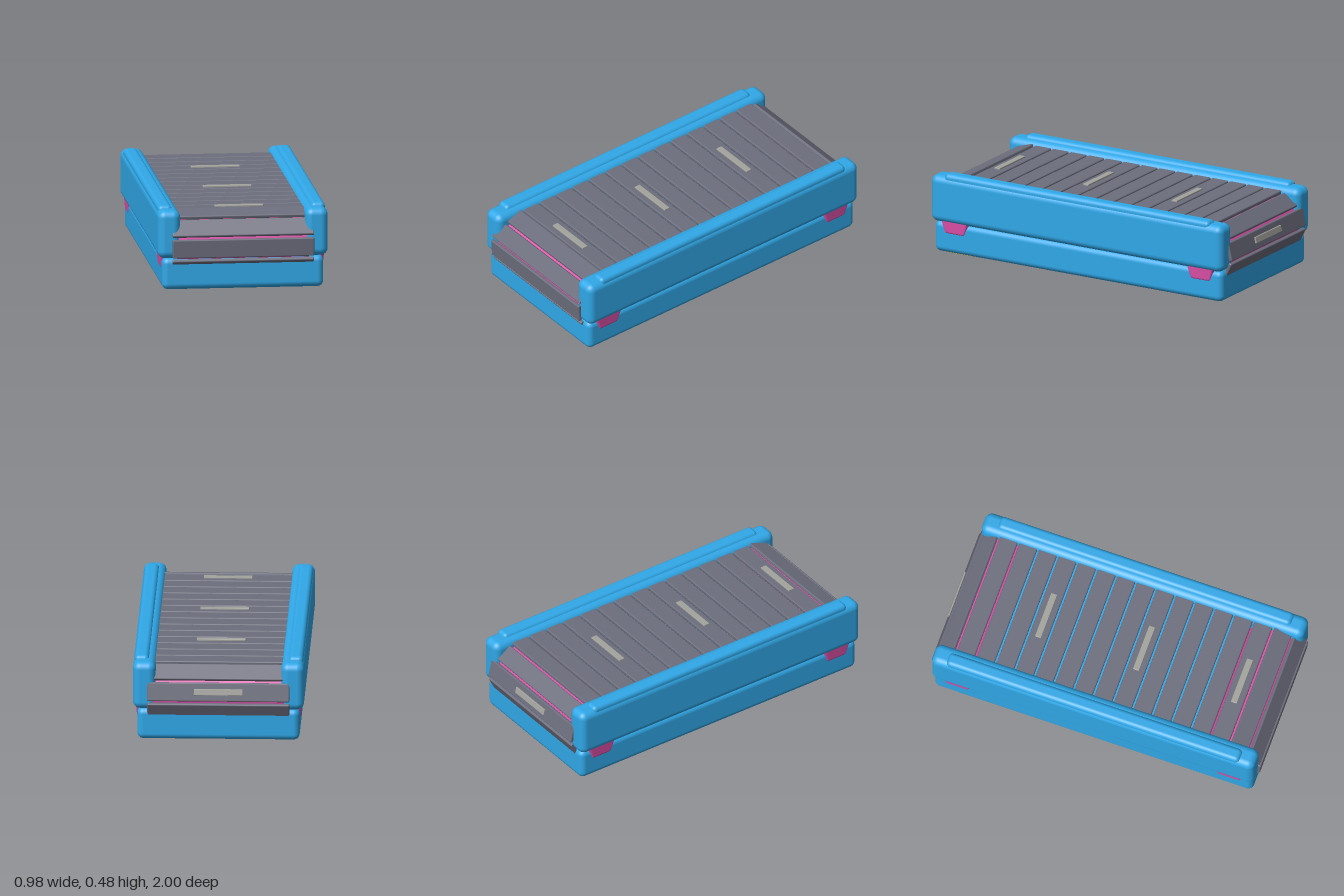
import * as THREE from 'three';
import { RoundedBoxGeometry } from 'three/addons/geometries/RoundedBoxGeometry.js';

const mat = (color) => new THREE.MeshStandardMaterial({ color });

export function createModel() {
  const model = new THREE.Group();
  model.name = 'conveyor';
  const blue = mat(0x30a8e8), pink = mat(0xdd50a8), slatGrey = mat(0x6c6e7d);
  const plateGrey = mat(0xa3a39e), yellow = mat(0xd8b432);

  const add = (name, geometry, material, x = 0, y = 0, z = 0, parent = model) => {
    const mesh = new THREE.Mesh(geometry, material);
    mesh.name = name;
    mesh.position.set(x, y, z);
    parent.add(mesh);
    return mesh;
  };
  // Rounded box given by its limits on each axis
  const block = (name, material, [x0, x1], [y0, y1], [z0, z1], r, seg = 4) =>
    add(name, new RoundedBoxGeometry(x1 - x0, y1 - y0, z1 - z0, seg, r), material,
      (x0 + x1) / 2, (y0 + y1) / 2, (z0 + z1) / 2);

  // Base
  block('base', blue, [-0.465, 0.465], [0.002, 0.187], [-0.967, 0.967], 0.035);

  // Side rails with a raised cap strip
  for (const s of [-1, 1]) {
    const span = (a, b) => (s > 0 ? [a, b] : [-b, -a]);
    block('sideRail', blue, span(0.36, 0.49), [0.185, 0.463], [-0.98, 0.98], 0.042, 5);
    block('railCap', blue, span(0.4, 0.482), [0.4, 0.48], [-0.89, 0.89], 0.025);
  }

  // Belt path: two straight runs joined by half circles
  const endZ = 0.81, radius = 0.175, axisY = 0.255;

  // Inner core and end rollers
  add('beltCore', new THREE.BoxGeometry(0.78, 0.3, 1.32), blue, 0, 0.262, 0);
  const rollerGeo = new THREE.CylinderGeometry(0.163, 0.163, 0.76, 40).rotateZ(Math.PI / 2);
  for (const s of [-1, 1]) add('endRoller', rollerGeo, pink, 0, axisY, s * endZ);

  // Slats spaced along the path, every fifth one on show carrying a plate
  const slatGeo = new RoundedBoxGeometry(0.815, 0.022, 0.108, 2, 0.007);
  const plateGeo = new RoundedBoxGeometry(0.28, 0.014, 0.037, 2, 0.003);
  const pitch = 0.119, halfTurn = Math.PI * radius;
  const placeOnPath = (object, d) => {
    const s = Math.sign(d) || 1, u = Math.abs(d);
    const a = THREE.MathUtils.clamp((u - endZ) / radius, 0, Math.PI);
    const run = u < endZ ? u : endZ - Math.max(0, u - endZ - halfTurn);
    object.position.set(0, axisY + radius * Math.cos(a), s * (run + radius * Math.sin(a)));
    object.rotation.x = s * a;
  };
  for (let i = -18; i < 18; i++) {
    const slat = new THREE.Group();
    slat.name = 'beltSlat';
    add('slat', slatGeo, slatGrey, 0, 0, 0, slat);
    if ([-10, -5, 0, 5].includes(i)) add('slatPlate', plateGeo, plateGrey, 0, 0.013, 0, slat);
    placeOnPath(slat, 0.145 + i * pitch);
    model.add(slat);
  }

  // Tapered corner brackets between base and rails
  const bracketGeo = new RoundedBoxGeometry(0.1, 0.11, 0.19, 4, 0.015);
  const p = bracketGeo.attributes.position;
  for (let i = 0; i < p.count; i++) {
    const t = THREE.MathUtils.clamp((0.02 - p.getY(i)) / 0.075, 0, 1);
    p.setX(i, p.getX(i) * (1 - 0.16 * t));
    p.setZ(i, p.getZ(i) * (1 - 0.34 * t));
  }
  bracketGeo.computeVertexNormals();

  // Foot pads, one standing slightly proud with a triangular inset
  const padGeo = new RoundedBoxGeometry(0.155, 0.012, 0.17, 2, 0.002);
  for (const sx of [-1, 1]) for (const sz of [-1, 1]) {
    add('cornerBracket', bracketGeo, pink, sx * 0.426, 0.173, sz * 0.825);
    const proud = sx > 0 && sz > 0;
    add('footPad', padGeo, yellow, sx * 0.363, proud ? 0.007 : 0.009, sz * 0.805);
  }
  const tri = new THREE.Shape([[-0.05, -0.05], [0.05, -0.05], [-0.05, 0.05]]
    .map(([x, y]) => new THREE.Vector2(x, y)));
  const inset = add('padInset', new THREE.ExtrudeGeometry(tri, { depth: 0.002, bevelEnabled: false }),
    pink, 0.363, 0.002, 0.805);
  inset.rotation.x = Math.PI / 2;

  return model;
}
